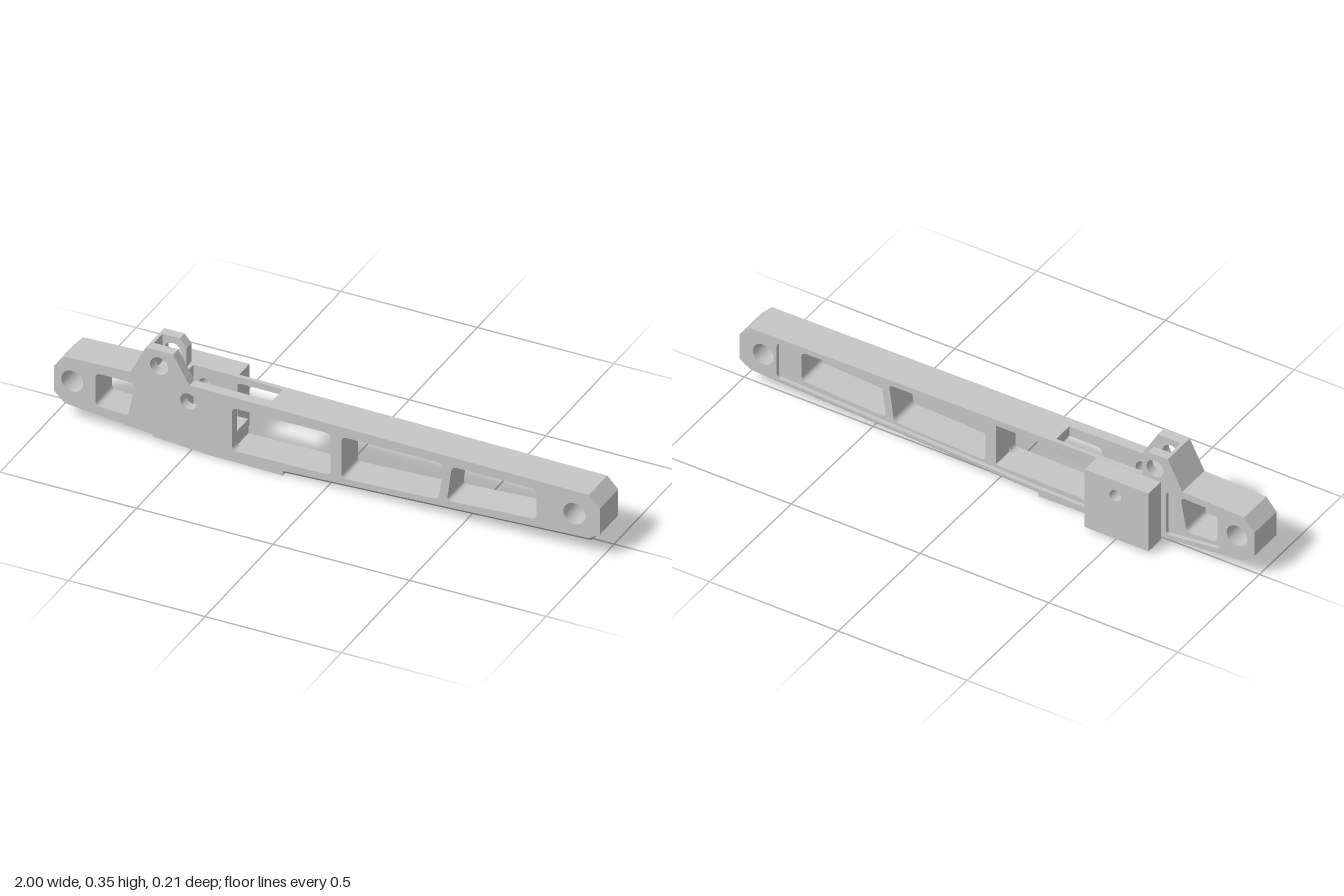
import * as THREE from 'three';

const V = (p) => new THREE.Vector2(p[0], p[1]);

// closed polygon path with rounded corners
function rounded(points, r) {
  const path = new THREE.Path();
  const pts = points.map(V);
  pts.forEach((p, i) => {
    const prev = pts[(i + pts.length - 1) % pts.length];
    const next = pts[(i + 1) % pts.length];
    const a = p.clone().add(prev.clone().sub(p).setLength(r));
    const b = p.clone().add(next.clone().sub(p).setLength(r));
    if (i === 0) path.moveTo(a.x, a.y); else path.lineTo(a.x, a.y);
    path.quadraticCurveTo(p.x, p.y, b.x, b.y);
  });
  path.closePath();
  return path;
}

function round(x, y, r) {
  return new THREE.Path().absarc(x, y, r, 0, Math.PI * 2, true);
}

// underside and ends shared by every layer, clockwise from the right top to the left top
const LOWER = [
  [0.96, 0.237], [1, 0.195], [1, 0.095], [0.96, 0.055], [-0.16, 0.003], [-0.161, 0],
  [-0.42, 0.004], [-0.636, 0.018], [-0.636, 0.026], [-0.96, 0.058], [-1, 0.095], [-1, 0.19],
  [-0.96, 0.237], [-0.72, 0.245],
];
// upper edges: full tower, rear lug, and slot between the lugs
const FULL = [[-0.663, 0.355], [-0.563, 0.355], [-0.503, 0.253]];
const LUG = [[-0.663, 0.355], [-0.588, 0.355], [-0.563, 0.325], [-0.563, 0.2537]];
const SLOT = [[-0.663, 0.355], [-0.652, 0.355], [-0.652, 0.25]];
// cavity open at the top and running into the first window
const CAVITY = [
  [-0.548, 0.2535], [-0.548, 0.1], [-0.347, 0.1], [-0.347, 0.045], [0.014, 0.05],
  [0.014, 0.21], [-0.22, 0.21], [-0.22, 0.2499],
];

export function createModel() {
  const model = new THREE.Group();
  model.name = 'slottedArm';
  const gray = new THREE.MeshStandardMaterial({ color: 0xc6c6c6 });
  gray.name = 'plain gray';

  function add(name, shape, z0, z1) {
    const geo = new THREE.ExtrudeGeometry(shape, { depth: z1 - z0, bevelEnabled: false, curveSegments: 20 });
    geo.translate(0, 0, z0);
    const mesh = new THREE.Mesh(geo, gray);
    mesh.name = name;
    model.add(mesh);
    return geo;
  }

  const endHoles = [round(-0.932, 0.15, 0.04), round(0.907, 0.15, 0.04)];
  const towerHole = round(-0.614, 0.297, 0.033);
  const windows = [
    [[-0.847, 0.205], [-0.703, 0.205], [-0.727, 0.073], [-0.847, 0.08]],
    [[0.054, 0.21], [0.429, 0.209], [0.409, 0.066], [0.054, 0.05]],
    [[0.458, 0.207], [0.768, 0.205], [0.768, 0.09], [0.44, 0.071]],
  ].map((w) => rounded(w, 0.02));
  const firstWindow = rounded([[-0.347, 0.21], [0.014, 0.21], [0.014, 0.05], [-0.347, 0.045]], 0.02);
  const pockets = [
    [[-0.867, 0.215], [-0.657, 0.22], [-0.657, 0.045], [-0.867, 0.068]],
    [[-0.387, 0.228], [0.855, 0.218], [0.855, 0.075], [-0.16, 0.03], [-0.387, 0.027]],
  ].map((w) => rounded(w, 0.015));

  // one slice of the arm; chamferZ lifts the lower right edge on that face
  function layer(name, upper, holes, z0, z1, chamferZ) {
    const shape = new THREE.Shape([...LOWER, ...upper].reverse().map(V));
    shape.holes.push(...endHoles, ...holes);
    const geo = add(name, shape, z0, z1);
    if (chamferZ === undefined) return;
    const p = geo.attributes.position;
    for (let i = 0; i < p.count; i++) {
      const x = p.getX(i);
      const edge = 0.003 + (x + 0.16) * 0.0465;
      if (x > -0.1605 && p.getY(i) < edge + 0.004 && Math.abs(p.getZ(i) - chamferZ) < 1e-4) {
        p.setY(i, p.getY(i) + 0.015);
      }
    }
    geo.computeVertexNormals();
  }

  const frontHoles = [...windows, firstWindow, towerHole, round(-0.507, 0.19, 0.03)];
  const boltHole = round(-0.507, 0.19, 0.022);

  // arm, from the back rim to the front face
  layer('backRim', LUG, [...pockets, towerHole, boltHole], -0.03, -0.015, -0.03);
  layer('backWeb', [...LUG, ...CAVITY], [...windows, towerHole], -0.015, 0.005);
  layer('slottedCore', [...SLOT, ...CAVITY], windows, 0.005, 0.067);
  layer('frontWall', FULL, frontHoles, 0.067, 0.09);
  layer('frontFace', FULL, frontHoles, 0.09, 0.105, 0.105);

  // mounting block on the back, drilled through
  const block = new THREE.Shape([[-0.636, 0.014], [-0.388, 0.014], [-0.388, 0.251], [-0.636, 0.251]].map(V));
  block.holes.push(boltHole);
  add('mountingBlock', block, -0.105, -0.03);

  return model;
}
